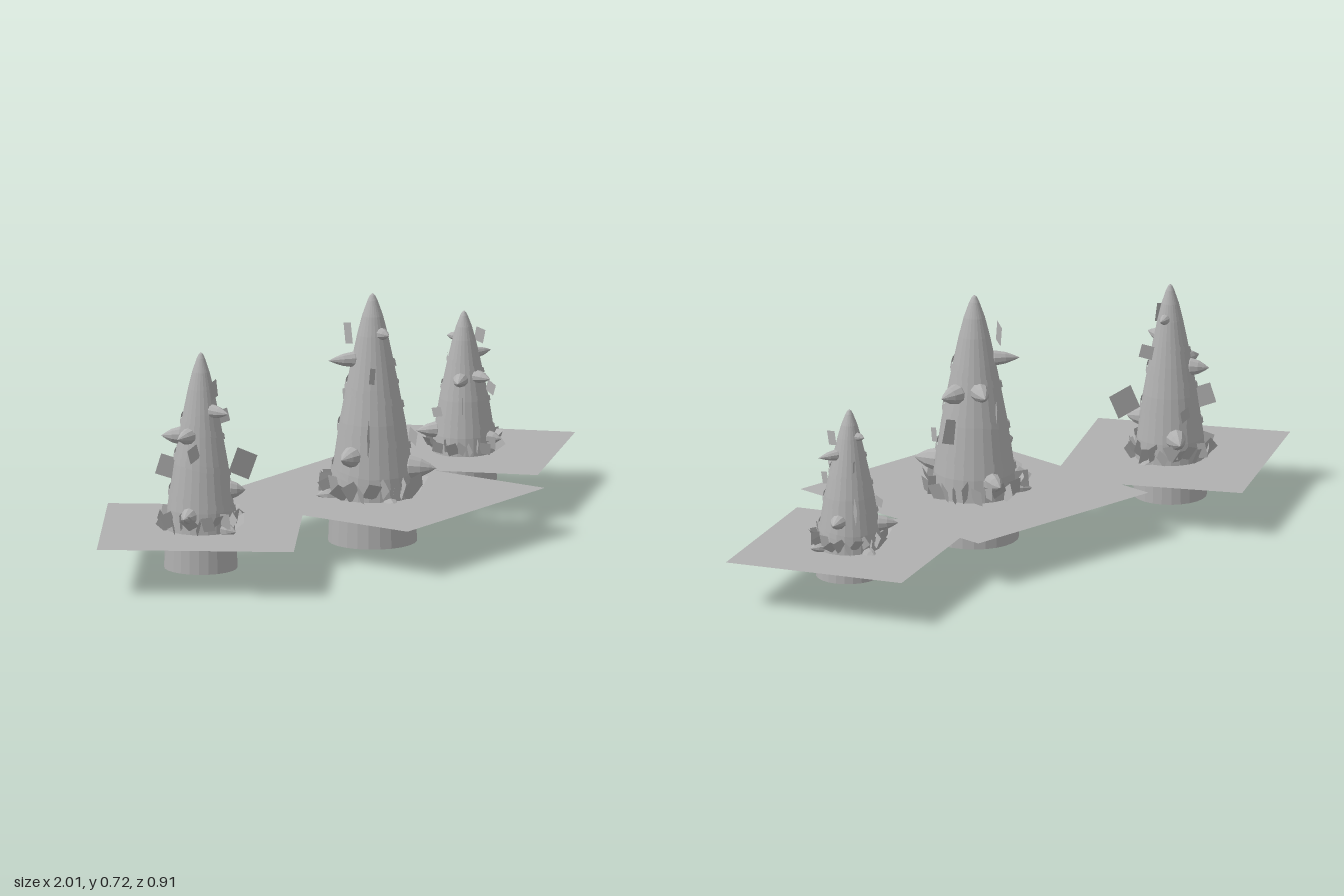
import * as THREE from 'three';

const stone = new THREE.MeshStandardMaterial({ color: 0xb0b0b0, flatShading: true, side: THREE.DoubleSide });
stone.name = 'grey';

// Tower profile: [height, radius]
const PROFILE = [[0, 0.127], [0.1, 0.123], [0.2, 0.116], [0.35, 0.094], [0.45, 0.075],
  [0.52, 0.061], [0.6, 0.044], [0.655, 0.03], [0.7, 0.014], [0.714, 0.007], [0.72, 0]];

function radiusAt(y) {
  for (let i = 1; i < PROFILE.length; i++) {
    const [y0, r0] = PROFILE[i - 1], [y1, r1] = PROFILE[i];
    if (y <= y1) return r0 + (r1 - r0) * (y - y0) / (y1 - y0);
  }
  return 0;
}

function seeded(seed) {
  return () => (seed = (seed * 16807) % 2147483647) / 2147483647;
}

function part(parent, name, geometry) {
  const mesh = new THREE.Mesh(geometry, stone);
  mesh.name = name;
  parent.add(mesh);
  return mesh;
}

// Pivot on the tower axis whose +z points outward at the given azimuth (degrees from front)
function spoke(parent, name, azimuth, y) {
  const pivot = new THREE.Group();
  pivot.name = name;
  pivot.position.y = y;
  pivot.rotation.y = THREE.MathUtils.degToRad(azimuth);
  parent.add(pivot);
  return pivot;
}

// Rounded, pointed thorn running outward along +z
function thornGeometry(size, length) {
  const pts = [[0, -0.5], [0.7, -0.4], [0.97, -0.12], [1, 0.1]]
    .map(([r, h]) => new THREE.Vector2(r * size, h * size));
  pts.push(new THREE.Vector2(size * 0.75, length * 0.45), new THREE.Vector2(size * 0.38, length * 0.75),
    new THREE.Vector2(0, length));
  return new THREE.LatheGeometry(pts, 10).rotateX(Math.PI / 2);
}

// Ribbon winding down around the tower
function ribbonGeometry(top, bottom, turns, width) {
  const steps = turns * 24, pos = [], index = [];
  for (let i = 0; i <= steps; i++) {
    const a = (i / 24) * Math.PI * 2, y = top + (bottom - top) * i / steps;
    for (const h of [y - width / 2, y + width / 2]) {
      const r = radiusAt(h) + 0.005;
      pos.push(Math.sin(a) * r, h, Math.cos(a) * r);
    }
    if (i < steps) index.push(2 * i, 2 * i + 2, 2 * i + 1, 2 * i + 1, 2 * i + 2, 2 * i + 3);
  }
  const g = new THREE.BufferGeometry();
  g.setAttribute('position', new THREE.Float32BufferAttribute(pos, 3));
  g.setIndex(index);
  g.computeVertexNormals();
  return g;
}

// [azimuth, height, thorn radius, distance of the tip from the axis]
const THORNS = [
  [-14, 0.607, 0.018, 0.072], [92, 0.44, 0.03, 0.137], [24, 0.217, 0.035, 0.185],
  [-30, 0.115, 0.031, 0.165], [-90, 0.26, 0.031, 0.155], [-130, 0.53, 0.023, 0.13],
  [148, 0.45, 0.028, 0.14], [-130, 0.14, 0.028, 0.165], [162, 0.19, 0.029, 0.165],
];

// [azimuth, height, distance, width, height of card, turn about y, roll]
const CARDS = [
  [-59, 0.33, 0.165, 0.085, 0.085, 90, 24], [100, 0.34, 0.115, 0.07, 0.07, 90, -18],
  [-137, 0.605, 0.07, 0.045, 0.06, 20, 12], [-55, 0.495, 0.085, 0.05, 0.045, 70, -15],
  [170, 0.4, 0.11, 0.05, 0.05, 60, 20], [40, 0.3, 0.115, 0.045, 0.04, 25, 15],
];

function buildTower() {
  const tower = new THREE.Group();

  part(tower, 'spire', new THREE.LatheGeometry(PROFILE.map(([y, r]) => new THREE.Vector2(r, y)), 24));
  part(tower, 'spiralBand', ribbonGeometry(0.53, 0.17, 3, 0.02));

  for (const [azimuth, y, size, tip] of THORNS) {
    const start = radiusAt(y) - size * 0.2;
    part(spoke(tower, 'thorn', azimuth, y), 'thornBody', thornGeometry(size, tip - start)).position.z = start;
  }

  for (const [azimuth, y, distance, w, h, turn, roll] of CARDS) {
    const card = part(spoke(tower, 'plate', azimuth, y), 'plateFace', new THREE.PlaneGeometry(w, h));
    card.position.z = distance;
    card.rotation.set(0, THREE.MathUtils.degToRad(turn), THREE.MathUtils.degToRad(roll));
  }

  // Collar of ragged leaves where the spire leaves the ground
  const rand = seeded(77);
  const leaf = new THREE.PlaneGeometry(0.042, 0.052);
  for (let i = 0; i < 26; i++) {
    const m = part(spoke(tower, 'collarLeaf', i * 360 / 26, 0.155 + rand() * 0.025), 'leafFace', leaf);
    m.position.z = 0.126 + rand() * 0.012;
    m.rotation.set(0.2 + rand() * 0.5, (rand() - 0.5) * 2.6, (rand() - 0.5) * 1.1);
  }

  // Flat ground sheet crossing the spire
  part(tower, 'groundSheet', new THREE.PlaneGeometry(0.68, 0.72).rotateX(-Math.PI / 2)).position.y = 0.135;
  return tower;
}

export function createModel() {
  const model = new THREE.Group();
  model.name = 'thornSpires';
  // name, position, scale, turn in degrees
  const placements = [
    ['middleSpire', [0.022, 0, 0.087], [1, 1, 1], 0],
    ['rightSpire', [-0.61, 0.02, -0.066], [0.825, 0.87, 0.825], 122],
    ['leftSpire', [0.632, 0.05, -0.024], [0.82, 0.68, 0.745], -156],
  ];
  for (const [name, position, scale, turn] of placements) {
    const tower = buildTower();
    tower.name = name;
    tower.position.set(...position);
    tower.scale.set(...scale);
    tower.rotation.y = THREE.MathUtils.degToRad(turn);
    // keep the ground sheets just under the middle one, level with each other
    const sheet = tower.getObjectByName('groundSheet');
    if (turn) sheet.position.y = (0.134 - position[1]) / scale[1];
    model.add(tower);
  }
  return model;
}
